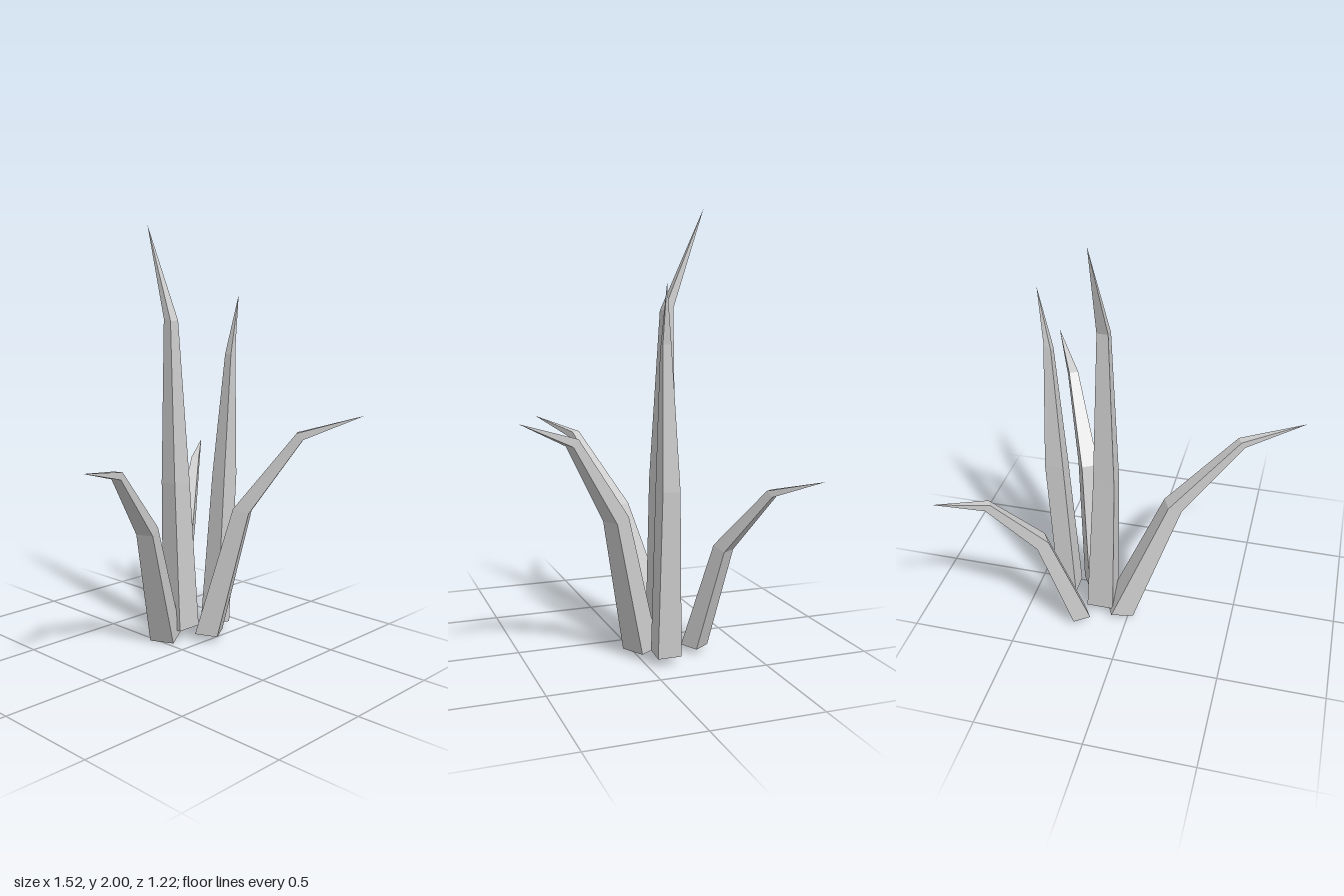
import * as THREE from 'three';

// Each ring: [x, y, z, width, depth, rise]; rise is how far the inner edge sits above the outer one.
// lean is the horizontal direction [x, z] in which the leaf bends.
const LEAVES = [
  { name: 'leftLeaf', lean: [-0.9, 0.43], tip: [-0.76, 0.99, 0.22], rings: [
    [0.05, 0.015, -0.165, 0.12, 0.11, 0.025],
    [-0.185, 0.61, -0.04, 0.08, 0.066, 0.025],
    [-0.475, 0.925, 0.09, 0.043, 0.018, 0.03]] },
  { name: 'tallCentreLeaf', lean: [0, -1], tip: [0.11, 2, -0.345], rings: [
    [0.14, 0.045, -0.15, 0.13, 0.12, 0.01],
    [0.11, 0.78, -0.155, 0.1, 0.09, 0],
    [0.1, 1.555, -0.175, 0.05, 0.045, -0.01]] },
  { name: 'uprightRightLeaf', lean: [1, 0], tip: [0.43, 1.67, -0.045], rings: [
    [0.328, 0.045, -0.093, 0.11, 0.09, 0.01],
    [0.373, 0.79, -0.078, 0.08, 0.088, 0],
    [0.387, 1.4, -0.058, 0.038, 0.032, -0.03]] },
  { name: 'frontLeaf', lean: [0.5, 0.865], tip: [0.56, 1.13, 0.61], rings: [
    [0.203, 0.035, -0.018, 0.115, 0.11, 0.005],
    [0.28, 0.66, 0.125, 0.082, 0.075, 0.02],
    [0.415, 1.025, 0.358, 0.045, 0.03, 0.03]] },
  { name: 'backRightLeaf', lean: [0.842, -0.54], tip: [0.76, 0.865, -0.61], rings: [
    [0.23, 0.03, -0.27, 0.088, 0.085, 0.005],
    [0.378, 0.52, -0.34, 0.075, 0.055, 0.025],
    [0.57, 0.79, -0.47, 0.04, 0.025, 0.025]] },
];

// Four corners of a cross-section, anticlockwise seen from above
function corners([x, y, z, width, depth, rise], [hx, hz]) {
  return [[1, 1], [1, -1], [-1, -1], [-1, 1]].map(([d, w]) => [
    x + (d * hx * depth - w * hz * width) / 2,
    y - (d * rise) / 2,
    z + (d * hz * depth + w * hx * width) / 2,
  ]);
}

function leafGeometry({ rings, lean, tip }) {
  const loops = rings.map((r) => corners(r, lean));
  const pos = [];
  const tri = (a, b, c) => pos.push(...a, ...b, ...c);
  const [b0, b1, b2, b3] = loops[0];
  tri(b0, b2, b1); // closed foot
  tri(b0, b3, b2);
  for (let i = 0; i < 4; i++) {
    const j = (i + 1) % 4;
    for (let k = 0; k < loops.length - 1; k++) {
      const a = loops[k], b = loops[k + 1];
      tri(a[i], a[j], b[j]);
      tri(a[i], b[j], b[i]);
    }
    const top = loops[loops.length - 1];
    tri(top[i], top[j], tip); // pointed end
  }
  const g = new THREE.BufferGeometry();
  g.setAttribute('position', new THREE.Float32BufferAttribute(pos, 3));
  g.computeVertexNormals();
  return g;
}

export function createModel() {
  const group = new THREE.Group();
  group.name = 'grassTuft';
  const material = new THREE.MeshStandardMaterial({ color: 0xcccccc, flatShading: true });
  for (const leaf of LEAVES) {
    const mesh = new THREE.Mesh(leafGeometry(leaf), material);
    mesh.name = leaf.name;
    group.add(mesh);
  }
  return group;
}
